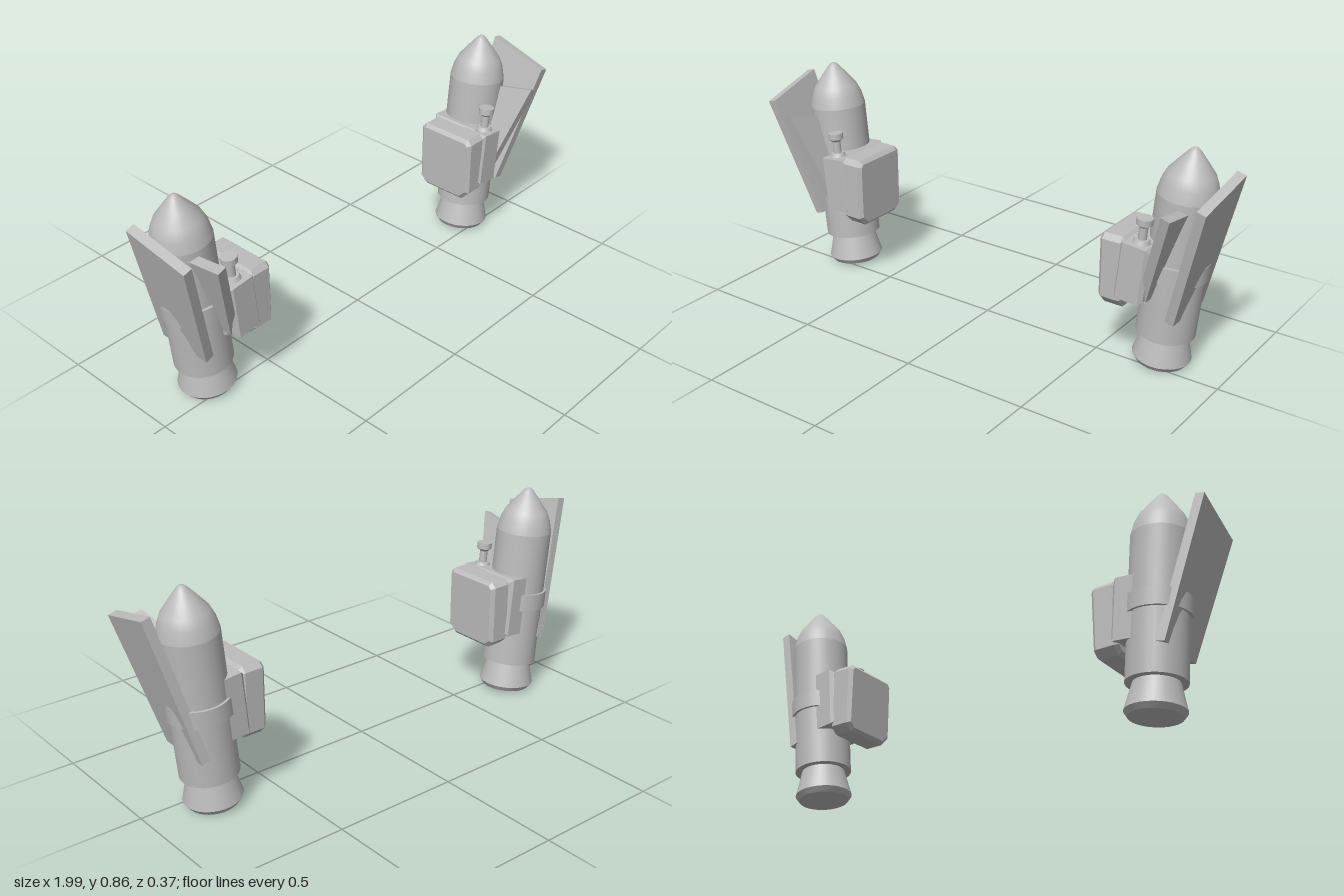
import * as THREE from 'three';

const grey = new THREE.MeshStandardMaterial({ color: 0xbcbcbc });
grey.name = 'plain grey';

function add(parent, name, geometry, x = 0, y = 0, z = 0, rz = 0) {
  const mesh = new THREE.Mesh(geometry, grey);
  mesh.name = name;
  mesh.position.set(x, y, z);
  mesh.rotation.z = rz;
  parent.add(mesh);
  return mesh;
}

// Extrudes a side outline given as [z, y] points along x, from x0 to x1
function sideExtrude(points, x0, x1, bevel = 0) {
  const shape = new THREE.Shape(points.map(([z, y]) => new THREE.Vector2(-z, y)));
  const geometry = new THREE.ExtrudeGeometry(shape, {
    depth: x1 - x0 - 2 * bevel,
    bevelEnabled: bevel > 0,
    bevelThickness: bevel,
    bevelSize: bevel,
    bevelOffset: -bevel,
    bevelSegments: 1,
  });
  geometry.translate(0, 0, x0 + bevel);
  geometry.rotateY(Math.PI / 2);
  return geometry;
}

// Box with chamfered edges, centred on its origin
function chamferBox(w, h, d, bevel) {
  const a = d / 2, b = h / 2;
  return sideExtrude([[a, -b], [-a, -b], [-a, b], [a, b]], -w / 2, w / 2, bevel);
}

const cyl = (top, bottom, height, segments = 32) =>
  new THREE.CylinderGeometry(top, bottom, height, segments);

function createBooster() {
  const booster = new THREE.Group();

  // Rocket tube, leaning outward
  const rocket = new THREE.Group();
  rocket.name = 'rocket';
  rocket.position.set(0.738, 0.01, -0.065);
  rocket.rotation.z = -0.096;
  booster.add(rocket);
  add(rocket, 'nozzleRim', cyl(0.11, 0.096, 0.02), 0, 0.01);
  add(rocket, 'nozzle', cyl(0.083, 0.11, 0.106), 0, 0.073);
  add(rocket, 'body', cyl(0.11, 0.11, 0.555), 0, 0.3995);
  add(rocket, 'strap', cyl(0.12, 0.12, 0.068), 0, 0.398);
  const nose = [[0.11, 0.677], [0.1, 0.722], [0.085, 0.757], [0.052, 0.8],
    [0.02, 0.84], [0.01, 0.849], [0, 0.852]];
  add(rocket, 'noseCone', new THREE.LatheGeometry(nose.map(p => new THREE.Vector2(...p)), 32));

  // Wing plates, pivoting on their lower outer edge
  add(booster, 'mainWing', sideExtrude(
    [[0.06, 0], [-0.168, 0], [-0.1, 0.577], [0.155, 0.51]], -0.036, 0), 0.84, 0.228, 0, -0.274);
  add(booster, 'smallWing', sideExtrude(
    [[0.08, 0], [-0.02, 0], [0, 0.36], [0.188, 0.4]], -0.036, 0), 0.738, 0.3, 0, -0.323);

  // Equipment pack on the inner side
  add(booster, 'outerPack', sideExtrude(
    [[0.065, 0.247], [-0.12, 0.247], [-0.15, 0.275], [-0.15, 0.51], [-0.13, 0.53],
      [0.085, 0.53], [0.103, 0.51], [0.103, 0.285]], 0.552, 0.652, 0.014));
  add(booster, 'packMount', chamferBox(0.12, 0.24, 0.21, 0.015), 0.695, 0.4, -0.055, -0.096);
  add(booster, 'frontPack', chamferBox(0.118, 0.22, 0.11, 0.014), 0.685, 0.408, 0.056, -0.096);

  // Valve on top of the front pack
  const valve = new THREE.Group();
  valve.name = 'valve';
  valve.position.set(0.7, 0.515, 0.062);
  valve.rotation.z = -0.096;
  booster.add(valve);
  add(valve, 'valveBase', cyl(0.026, 0.034, 0.018, 20), 0, 0.008);
  add(valve, 'valveStem', cyl(0.016, 0.016, 0.07, 20), 0, 0.045);
  add(valve, 'valveNeck', cyl(0.03, 0.016, 0.012, 20), 0, 0.07);
  add(valve, 'valveCap', cyl(0.03, 0.03, 0.024, 20), 0, 0.087);
  return booster;
}

export function createModel() {
  const model = new THREE.Group();
  model.name = 'boosterPair';
  for (const side of [1, -1]) {
    const booster = createBooster();
    booster.name = side > 0 ? 'leftBooster' : 'rightBooster';
    booster.scale.x = side;
    model.add(booster);
  }
  return model;
}
